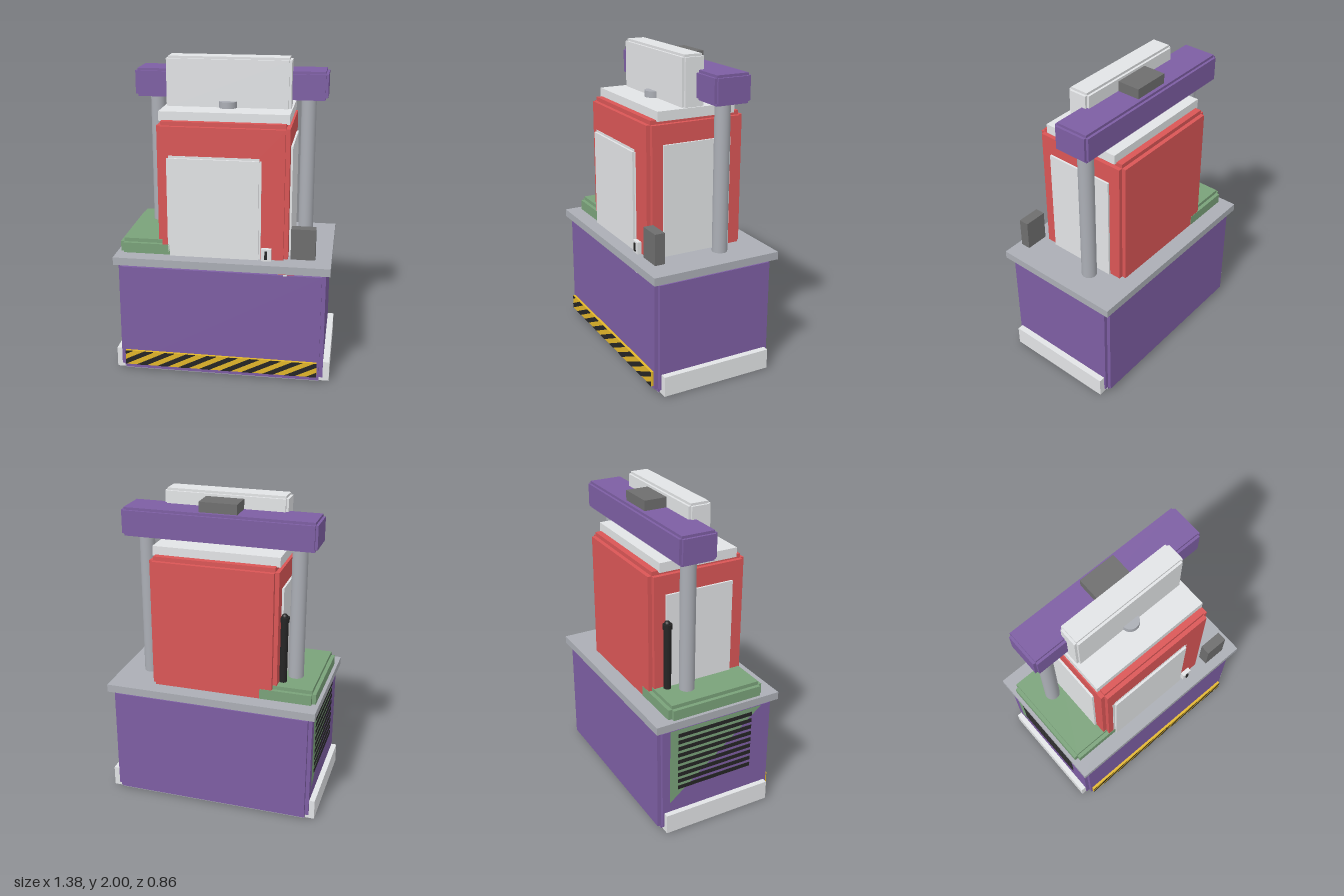
import * as THREE from 'three';
import { mergeGeometries } from 'three/addons/utils/BufferGeometryUtils.js';

const mat = (name, color) => {
  const m = new THREE.MeshStandardMaterial({ color });
  m.name = name;
  return m;
};

// Box given as [min, max] per axis
function plainBox(x, y, z) {
  const g = new THREE.BoxGeometry(x[1] - x[0], y[1] - y[0], z[1] - z[0]);
  return g.translate((x[0] + x[1]) / 2, (y[0] + y[1]) / 2, (z[0] + z[1]) / 2);
}

// Box with square-notched edges: three crossing boxes, each full along one axis
function notchedBox(x, y, z, n) {
  const inset = r => [r[0] + n, r[1] - n];
  return mergeGeometries([
    plainBox(x, inset(y), inset(z)),
    plainBox(inset(x), y, inset(z)),
    plainBox(inset(x), inset(y), z),
  ]);
}

// Cuts a polygon at a vertical line, keeping the side where sign * x <= sign * limit
function clipX(poly, limit, sign) {
  const out = [];
  poly.forEach((a, i) => {
    const b = poly[(i + 1) % poly.length];
    const da = sign * (limit - a.x), db = sign * (limit - b.x);
    if (da >= 0) out.push(a);
    if (da * db < 0) out.push(a.clone().lerp(b, da / (da - db)));
  });
  return out;
}

const points = list => list.map(p => new THREE.Vector2(...p));
const plate = list => new THREE.ShapeGeometry(new THREE.Shape(points(list)));

export function createModel() {
  const purple = mat('purple', 0x7d5ea3);
  const red = mat('red', 0xda5656);
  const green = mat('green', 0x7aa27a);
  const light = mat('light grey', 0xe2e4e6);
  const steel = mat('steel grey', 0xabaeb5);
  const dark = mat('dark grey', 0x6e6e6e);
  const black = mat('black', 0x252525);
  const yellow = mat('yellow', 0xe2b62a);
  const brown = mat('brown', 0x7c593c);

  const model = new THREE.Group();
  const add = (name, geometry, material) => {
    const m = new THREE.Mesh(geometry, material);
    m.name = name;
    model.add(m);
  };
  const box = (name, m, x, y, z, notch = 0) =>
    add(name, notch ? notchedBox(x, y, z, notch) : plainBox(x, y, z), m);

  // Base cabinet, deck and underside
  box('baseCabinet', purple, [-0.655, 0.65], [0.008, 0.745], [-0.405, 0.405], 0.024);
  box('deck', steel, [-0.677, 0.677], [0.74, 0.79], [-0.43, 0.43]);
  box('undersidePlate', steel, [-0.631, 0.626], [0.004, 0.03], [-0.38, 0.38]);
  for (const s of [-1, 1]) {
    box('sideSkirt', light, [s * 0.655 - 0.035, s * 0.655 + 0.035], [0.005, 0.135], [-0.37, 0.37]);
    for (const z of [-0.27, 0.27])
      box('foot', black, [s * 0.55 - 0.03, s * 0.55 + 0.03], [0, 0.012], [z - 0.022, z + 0.022]);
  }
  const patch = plate([[0.62, -0.37], [0.62, 0.07], [-0.15, -0.37]]);
  add('undersidePatch', patch.rotateX(Math.PI / 2).translate(0, 0.002, 0), brown);

  // Hazard strip along the front
  const L = -0.62, R = 0.612, low = 0.05, high = 0.147, slant = 0.19, count = 9;
  box('hazardStrip', yellow, [L, R], [low, high], [0.4, 0.421]);
  const pitch = (R - L) / count;
  for (let i = -2; i < count; i++) {
    const b = L + (i + 0.5) * pitch, w = pitch * 0.5;
    const stripe = points([[b, low], [b + w, low], [b + w + slant, high], [b + slant, high]]);
    const clipped = clipX(clipX(stripe, R, 1), L, -1);
    if (clipped.length > 2)
      add('hazardStripe', new THREE.ShapeGeometry(new THREE.Shape(clipped)).translate(0, 0, 0.424), black);
  }

  // Small latch under the front lip of the deck
  box('latchPlate', red, [0.355, 0.455], [0.731, 0.741], [0.38, 0.415]);
  box('latchPin', light, [0.39, 0.412], [0.72, 0.732], [0.39, 0.412]);

  // Vent slots with their backing on the side of the cabinet
  const backing = plate([[-0.33, 0.2], [0.32, 0.72], [-0.33, 0.72]]);
  add('ventBacking', backing.rotateY(-Math.PI / 2).translate(-0.6565, 0, 0), green);
  for (let i = 0; i < 9; i++) {
    const y = 0.3 + i * 0.047;
    box('ventSlot', black, [-0.659, -0.65], [y - 0.013, y + 0.013], [-0.275, 0.25]);
  }

  // Green side tray on the deck, running under the edge of the housing
  box('sideTray', green, [-0.655, -0.28], [0.765, 0.88], [-0.329, 0.329], 0.024);

  // Red housing with its panels
  box('housing', red, [-0.407, 0.407], [0.75, 1.637], [-0.327, 0.327], 0.026);
  box('frontDoor', light, [-0.345, 0.24], [0.775, 1.432], [0.31, 0.343], 0.014);
  for (const s of [-1, 1])
    box('sidePanel', light, [s * 0.408 - 0.012, s * 0.408 + 0.012], [0.785, 1.49], [-0.225, 0.23]);

  // Top plate, upper head and knob
  box('topPlate', light, [-0.402, 0.4], [1.63, 1.69], [-0.26, 0.262]);
  box('upperHead', light, [-0.39, 0.39], [1.67, 2], [-0.058, 0.088], 0.015);
  add('knob', new THREE.CylinderGeometry(0.056, 0.056, 0.04, 32).translate(0, 1.71, 0.082), steel);

  // Columns, crossbeam and drive unit
  for (const s of [-1, 1])
    add('column', new THREE.CylinderGeometry(0.048, 0.048, 0.97, 32).translate(s * 0.488, 1.265, -0.122), steel);
  box('crossbeam', purple, [-0.61, 0.61], [1.728, 1.907], [-0.243, 0], 0.016);
  box('driveUnit', dark, [-0.12, 0.12], [1.89, 1.97], [-0.205, -0.056]);

  // Control box and switch at the front
  box('controlBox', dark, [0.43, 0.58], [0.82, 1.015], [0.31, 0.375]);
  box('switchBox', light, [0.245, 0.308], [0.785, 0.867], [0.315, 0.355]);
  box('switchButton', black, [0.267, 0.284], [0.803, 0.855], [0.35, 0.362]);

  // Gas strut beside the housing
  add('strut', new THREE.CylinderGeometry(0.024, 0.024, 0.44, 16).translate(-0.428, 1.09, -0.224), black);
  add('strutHead', new THREE.CylinderGeometry(0.03, 0.03, 0.03, 16).translate(-0.428, 1.295, -0.224), black);
  add('strutTip', new THREE.SphereGeometry(0.02, 16, 10).translate(-0.428, 1.312, -0.224), black);

  return model;
}
